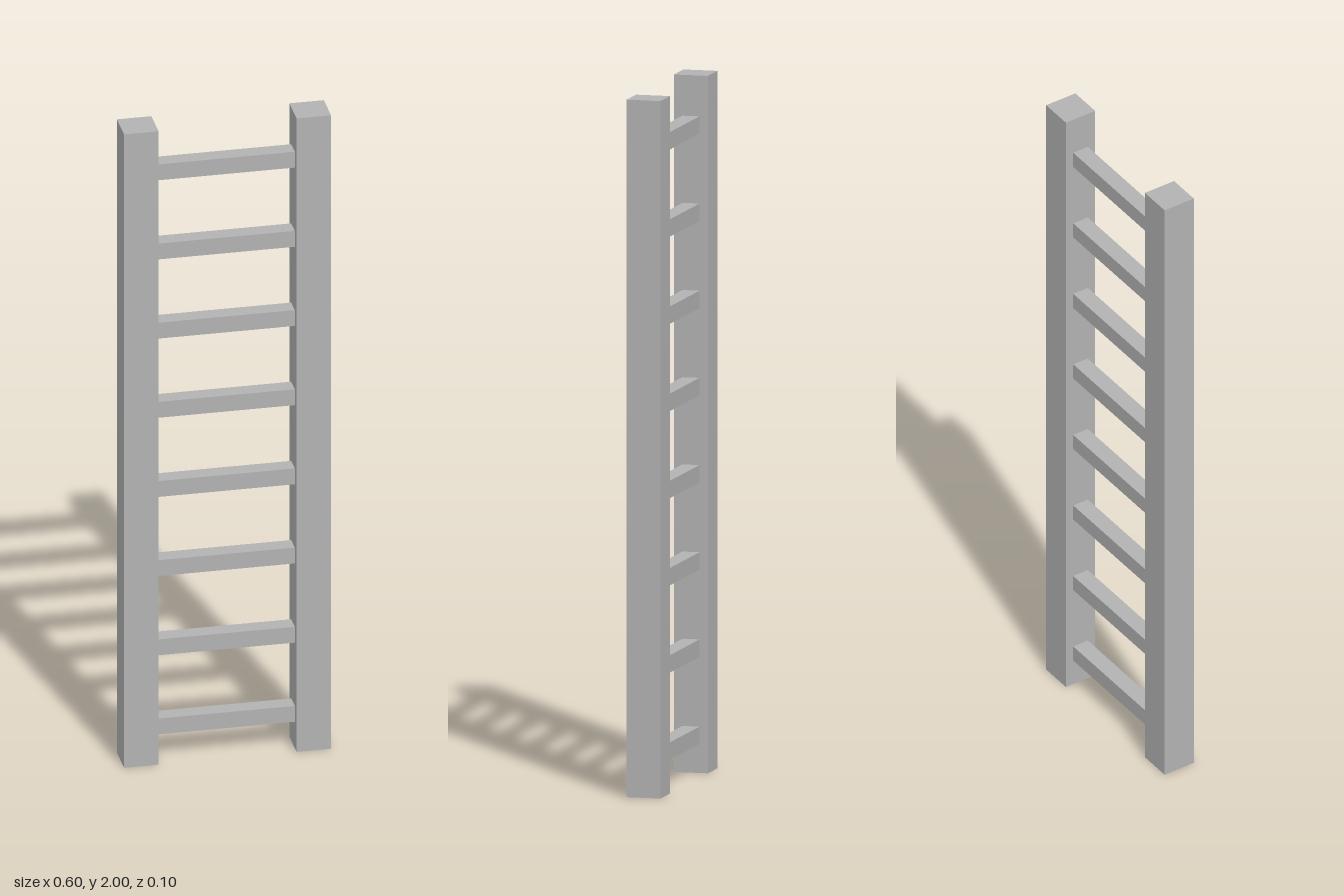
import * as THREE from 'three';

export function createModel() {
  const ladder = new THREE.Group();
  ladder.name = 'ladder';

  const grey = new THREE.MeshStandardMaterial({ color: 0xb2b2b2 });
  grey.name = 'grey';

  const addPart = (name, geometry, x, y) => {
    const mesh = new THREE.Mesh(geometry, grey);
    mesh.name = name;
    mesh.position.set(x, y, 0);
    ladder.add(mesh);
  };

  // Two square uprights
  const railGeometry = new THREE.BoxGeometry(0.1, 2, 0.1);
  addPart('leftRail', railGeometry, 0.25, 1);
  addPart('rightRail', railGeometry, -0.25, 1);

  // Eight evenly spaced square rungs between the inner faces of the rails
  const rungGeometry = new THREE.BoxGeometry(0.4, 0.05, 0.05);
  for (let i = 0; i < 8; i++) {
    addPart(`rung${i + 1}`, rungGeometry, 0, 0.108 + i * 0.25);
  }

  return ladder;
}
